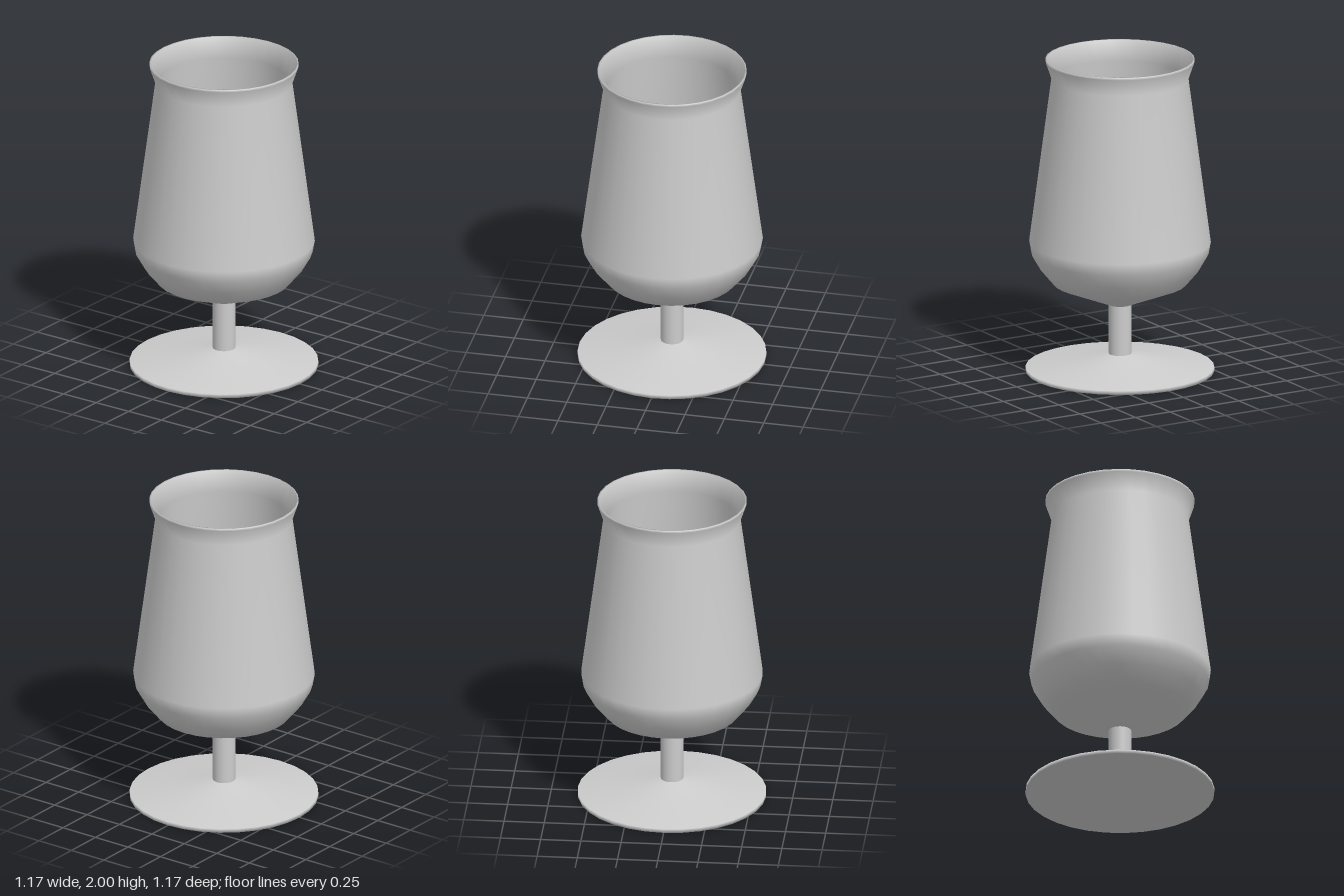
import * as THREE from 'three';

const SIDES = 32;

// Revolve a [radius, height] profile, listed from the underside up the outside
function turned(name, profile, material) {
  const points = profile.map(([r, y]) => new THREE.Vector2(r, y));
  const mesh = new THREE.Mesh(new THREE.LatheGeometry(points, SIDES), material);
  mesh.name = name;
  return mesh;
}

export function createModel() {
  const group = new THREE.Group();
  group.name = 'stemmedGlass';
  const grey = new THREE.MeshStandardMaterial({ color: 0xcccccc });
  grey.name = 'paleGrey';

  // Flat disc rising in a shallow cone to the stem
  group.add(turned('foot', [
    [0, 0], [0.585, 0], [0.585, 0.025], [0.44, 0.027], [0.07, 0.11],
  ], grey));

  // Slim straight stem
  group.add(turned('stem', [[0.07, 0.11], [0.07, 0.425]], grey));

  // Hollow bowl: outer wall, flared lip, then inner wall down to the floor
  group.add(turned('bowl', [
    [0.07, 0.425], [0.415, 0.565], [0.495, 0.66], [0.55, 0.755], [0.563, 0.83],
    [0.425, 1.875], [0.463, 1.985], [0.463, 2], [0.452, 2],
    [0.403, 1.875], [0.541, 0.83], [0.53, 0.765], [0.478, 0.675], [0.403, 0.585],
    [0.07, 0.45], [0, 0.445],
  ], grey));

  return group;
}
